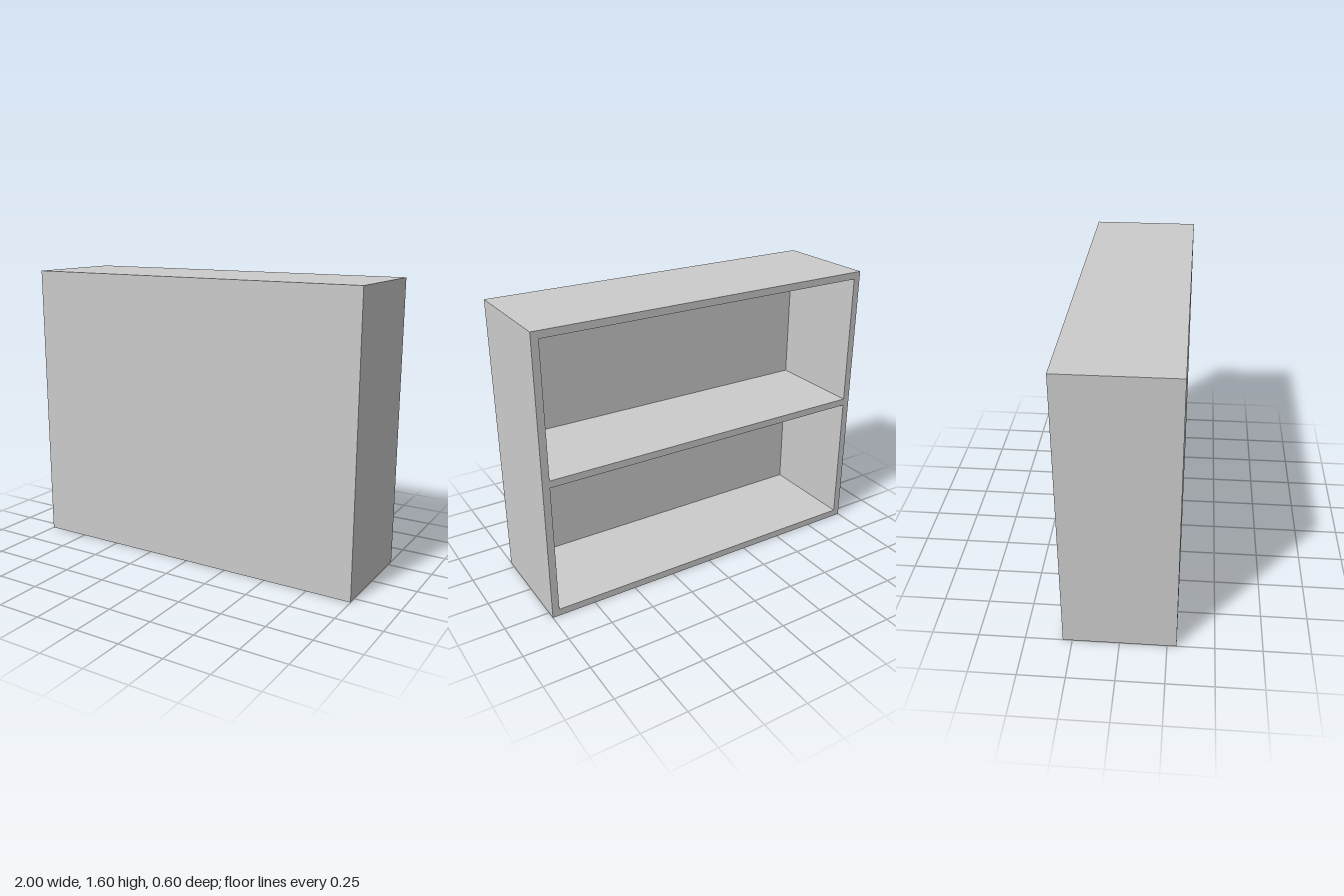
import * as THREE from 'three';

const W = 2, H = 1.6, D = 0.6, T = 0.04; // overall size and board thickness

export function createModel() {
  const group = new THREE.Group();
  group.name = 'shelfUnit';
  const material = new THREE.MeshStandardMaterial({ color: 0xcccccc });

  function board(name, w, h, d, x, y, z) {
    const mesh = new THREE.Mesh(new THREE.BoxGeometry(w, h, d), material);
    mesh.name = name;
    mesh.position.set(x, y, z);
    group.add(mesh);
  }

  // Closed panel on the front; the compartments open to the rear
  const innerW = W - 2 * T, innerD = D - T;
  board('frontPanel', W, H, T, 0, H / 2, D / 2 - T);
  group.children[0].position.z = (D - T) / 2;

  // Side walls
  for (const [name, s] of [['leftSide', 1], ['rightSide', -1]]) {
    board(name, T, H, innerD, s * (W - T) / 2, H / 2, -T / 2);
  }

  // Bottom, middle shelf and top between the sides
  for (const [name, y] of [['bottom', T / 2], ['middleShelf', H / 2], ['top', H - T / 2]]) {
    board(name, innerW, T, innerD, 0, y, -T / 2);
  }

  return group;
}
